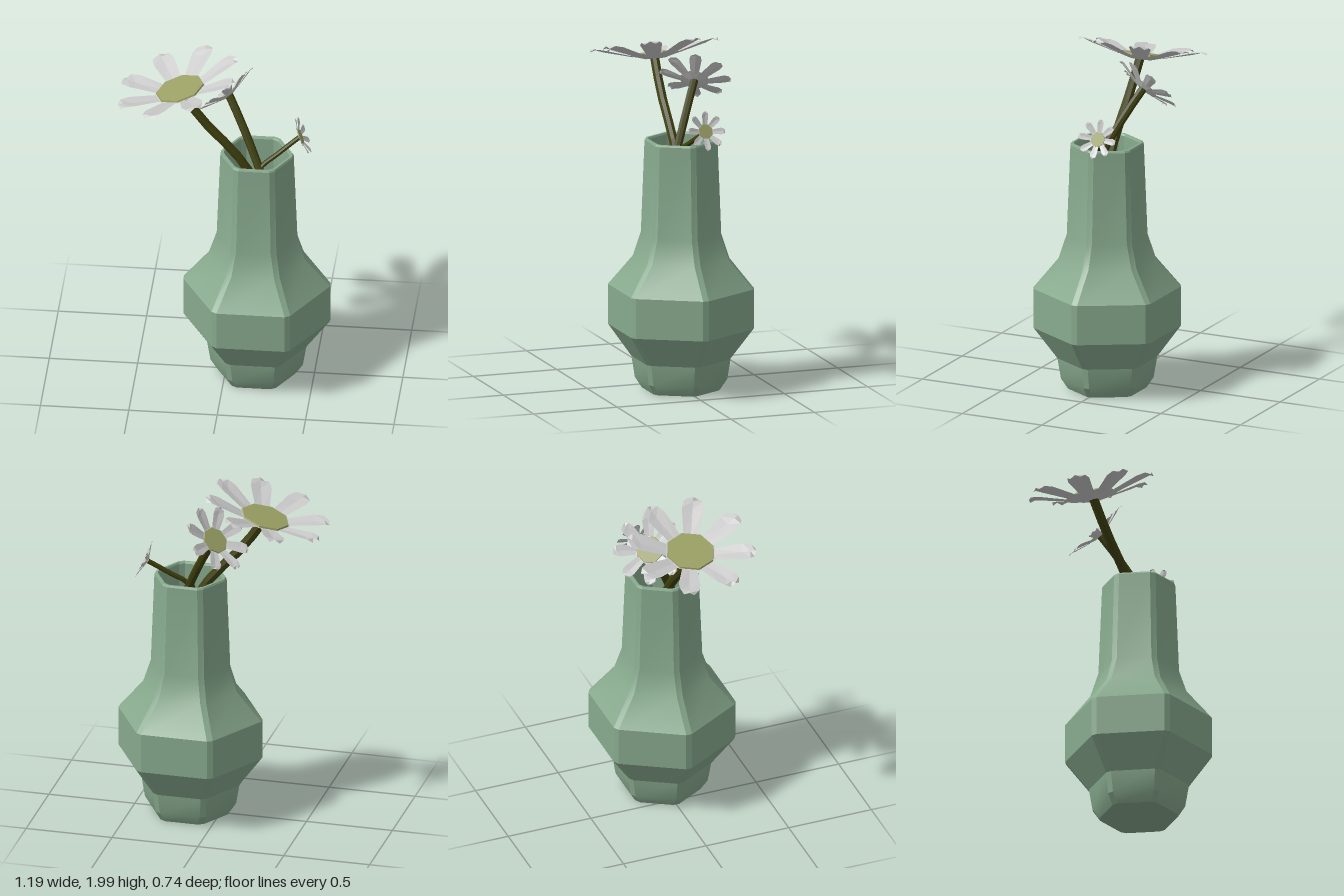
import * as THREE from 'three';
import { toCreasedNormals } from 'three/addons/utils/BufferGeometryUtils.js';

const mat = (color, extra = {}) => new THREE.MeshStandardMaterial({ color, ...extra });
const vaseMat = mat(0x88aa8e);
const stemMat = mat(0x3f400e, { flatShading: true });
const discMat = mat(0x9ba165, { flatShading: true });
const petalMat = mat(0xcccccc, { flatShading: true, side: THREE.DoubleSide });

function named(name, geometry, material) {
  const mesh = new THREE.Mesh(geometry, material);
  mesh.name = name;
  return mesh;
}

// Builds a surface from rows of points; closed rows wrap around
function loft(rows, closed) {
  const n = rows[0].length, pos = [], index = [];
  rows.forEach(row => row.forEach(p => pos.push(...p)));
  for (let i = 0; i < rows.length - 1; i++) {
    for (let j = 0; j < (closed ? n : n - 1); j++) {
      const a = i * n + j, b = i * n + (j + 1) % n;
      index.push(a, a + n, b, b, a + n, b + n);
    }
  }
  const g = new THREE.BufferGeometry();
  g.setAttribute('position', new THREE.Float32BufferAttribute(pos, 3));
  g.setIndex(index);
  return g;
}

// Hexagon with narrowly cut corners, given its half depth
function hexRing(y, apothem) {
  const ring = [], cut = 0.01;
  const R = apothem / Math.cos(Math.PI / 6);
  const half = Math.min(cut, R * 0.2) * Math.tan(Math.PI / 3);
  for (let k = 0; k < 6; k++) {
    const a = -k * Math.PI / 3;
    for (const s of [half, -half]) {
      const x = R - Math.min(cut, R * 0.2);
      ring.push([x * Math.cos(a) - s * Math.sin(a), y, x * Math.sin(a) + s * Math.cos(a)]);
    }
  }
  return ring;
}

function makeVase() {
  // [height, half depth]: base, belly, neck, rim, then the inside down to its floor
  const profile = [
    [0, 0], [0, 0.2], [0.06, 0.235], [0.18, 0.252], [0.36, 0.368], [0.59, 0.368],
    [0.76, 0.245], [0.9, 0.205], [1.43, 0.187], [1.44, 0.182],
    [1.44, 0.17], [1.43, 0.165], [1.2, 0.165], [1.2, 0],
  ];
  const rows = profile.map(([y, a]) => hexRing(y, a));
  // Rows run upwards and rings run anticlockwise, so flip the winding to face outwards
  const g = loft(rows.map(r => r.slice().reverse()), true);
  const vase = named('vase', toCreasedNormals(g, 0.4), vaseMat);
  vase.position.x = 0.175;
  return vase;
}

// One petal pointing along +x, cupped upwards with a folded tip
function makePetal() {
  // [distance, half width, height of middle, height of sides]
  const sections = [
    [0.125, 0.042, 0.01, 0.014], [0.285, 0.062, 0.052, 0.062],
    [0.335, 0.052, 0.07, 0.072], [0.362, 0.03, 0.076, 0.06],
  ];
  return loft(sections.map(([r, w, mid, side]) => [[r, side, w], [r, mid, 0], [r, side, -w]]), false);
}

function makeFlower(name, position, normal, scale, spin) {
  const flower = new THREE.Group();
  flower.name = name;
  const head = new THREE.Group();
  head.name = 'flowerHead';
  head.rotation.y = spin;
  const petal = makePetal();
  for (let k = 0; k < 8; k++) {
    const p = named('petal', petal, petalMat);
    p.rotation.y = (k + 0.5) * Math.PI / 4;
    head.add(p);
  }
  // Cup under the petals and the yellow disc lying in it
  const cup = named('cup', new THREE.CylinderGeometry(0.148, 0.06, 0.025, 8), petalMat);
  cup.position.y = 0.005;
  const disc = named('disc', new THREE.CylinderGeometry(0.138, 0.142, 0.012, 8), discMat);
  disc.position.y = 0.021;
  head.add(cup, disc);
  flower.add(head);
  flower.position.set(...position);
  flower.scale.setScalar(scale);
  flower.quaternion.setFromUnitVectors(
    new THREE.Vector3(0, 1, 0), new THREE.Vector3(...normal).normalize());
  return flower;
}

function makeStem(name, points, radius) {
  const curve = new THREE.CatmullRomCurve3(points.map(p => new THREE.Vector3(...p)));
  return named(name, new THREE.TubeGeometry(curve, 6, radius, 8), stemMat);
}

export function createModel() {
  const model = new THREE.Group();
  model.name = 'flowerVase';
  model.add(makeVase());

  model.add(
    makeStem('largeStem', [[0.21, 1.19, 0.005], [0.06, 1.43, 0.01], [-0.13, 1.645, 0.01], [-0.25, 1.82, 0.005]], 0.027),
    makeStem('mediumStem', [[0.265, 1.19, 0.11], [0.155, 1.44, 0], [0.07, 1.61, -0.08], [0.002, 1.73, -0.142]], 0.024),
    makeStem('smallStem', [[0.15, 1.19, 0.06], [0.17, 1.34, 0.05], [0.3, 1.445, -0.01], [0.41, 1.525, -0.06]], 0.014),
    makeFlower('largeFlower', [-0.255, 1.82, 0], [-0.276, 0.961, 0], 1, 0),
    makeFlower('mediumFlower', [0, 1.725, -0.143], [-0.65, 0.66, -0.37], 0.56, 0),
    makeFlower('smallFlower', [0.41, 1.527, -0.06], [0.9, 0.4, -0.08], 0.31, Math.PI / 8),
  );
  return model;
}
